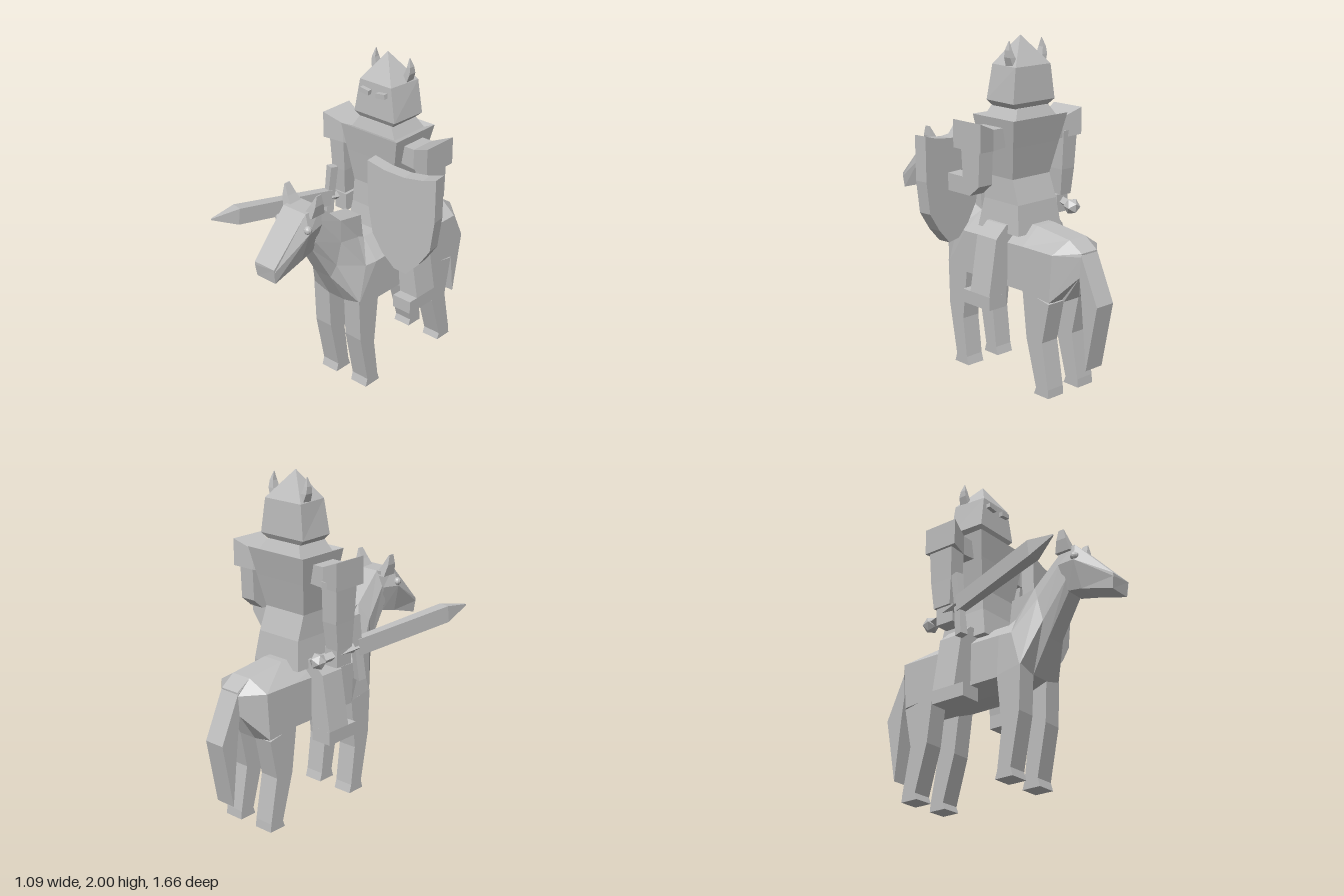
import * as THREE from 'three';

const stone = new THREE.MeshStandardMaterial({ color: 0xbfbfbf });
stone.name = 'stone grey';

function add(parent, name, geometry) {
  const g = geometry.index ? geometry.toNonIndexed() : geometry;
  g.computeVertexNormals(); // unshared corners give flat facets
  const mesh = new THREE.Mesh(g, stone);
  mesh.name = name;
  parent.add(mesh);
  return mesh;
}

// Skin a run of equal-length rings and cap both ends
function loft(rings) {
  const tris = [];
  const n = rings[0].length;
  for (let i = 0; i < rings.length - 1; i++) {
    for (let j = 0; j < n; j++) {
      const k = (j + 1) % n, a = rings[i], b = rings[i + 1];
      tris.push([a[j], a[k], b[k]], [a[j], b[k], b[j]]);
    }
  }
  const first = rings[0], last = rings[rings.length - 1];
  for (let j = 1; j < n - 1; j++) {
    tris.push([first[0], first[j + 1], first[j]], [last[0], last[j], last[j + 1]]);
  }
  // Turn the surface outward by the sign of its volume
  let volume = 0;
  const v = tris.map(t => t.map(p => new THREE.Vector3(...p)));
  v.forEach(([a, b, c]) => { volume += a.dot(b.clone().cross(c)); });
  if (volume < 0) v.forEach(t => t.reverse());
  return new THREE.BufferGeometry().setFromPoints(v.flat());
}

const shape = pts => new THREE.Shape(pts.map(p => new THREE.Vector2(...p)));
const plate = (pts, depth) =>
  new THREE.ExtrudeGeometry(shape(pts), { depth, bevelEnabled: false }).translate(0, 0, -depth / 2);
// Side outline given as [z, y], thickened along x
const sidePlate = (pts, depth, x) => plate(pts, depth).rotateY(-Math.PI / 2).translate(x, 0, 0);
// Symmetric ring from [halfWidth, y, z] points running top to bottom
const mirrorRing = half => [...half, ...half.slice().reverse().map(([x, y, z]) => [-x, y, z])];
// Horizontal rectangle
const rect = (x0, x1, y, z0, z1) => [[x0, y, z0], [x1, y, z0], [x1, y, z1], [x0, y, z1]];

function makeHorse() {
  const horse = new THREE.Group();
  horse.name = 'horse';
  horse.position.x = -0.03;

  // Barrel, chest and neck
  add(horse, 'horseBody', loft([
    [[0.06, 0.86, -0.71], [0.065, 0.84, -0.71], [0.065, 0.72, -0.7], [0.06, 0.55, -0.58]],
    [[0.065, 0.92, -0.62], [0.18, 0.85, -0.6], [0.18, 0.57, -0.58], [0.065, 0.55, -0.56]],
    [[0.065, 0.95, -0.37], [0.18, 0.85, -0.37], [0.18, 0.59, -0.37], [0.065, 0.545, -0.37]],
    [[0.065, 0.95, 0.1], [0.18, 0.84, 0.12], [0.18, 0.59, 0.105], [0.065, 0.545, 0.105]],
    [[0.065, 0.97, 0.15], [0.17, 0.84, 0.2], [0.18, 0.62, 0.265], [0.06, 0.6, 0.27]],
    [[0.065, 1.13, 0.29], [0.11, 1.03, 0.34], [0.1, 0.89, 0.37], [0.06, 0.8, 0.38]],
    [[0.055, 1.3, 0.47], [0.09, 1.22, 0.49], [0.085, 1.1, 0.52], [0.055, 1.04, 0.52]],
  ].map(mirrorRing)));

  add(horse, 'horseHead', loft([
    [[0.08, 1.3, 0.47], [0.1, 1.2, 0.48], [0.065, 1.04, 0.52]],
    [[0.085, 1.3, 0.59], [0.12, 1.19, 0.6], [0.075, 1.02, 0.62]],
    [[0.075, 1.05, 0.83], [0.075, 1.03, 0.83], [0.07, 0.96, 0.82]],
  ].map(mirrorRing)));

  add(horse, 'pommel', sidePlate([[0.29, 1.13], [0.12, 1.1], [0.1, 0.93], [0.16, 0.93]], 0.12, 0));

  const tail = [[-0.62, 0.92], [-0.71, 0.85], [-0.835, 0.58], [-0.76, 0.19],
    [-0.72, 0.57], [-0.7, 0.72], [-0.63, 0.82]];
  add(horse, 'tail', sidePlate(tail, 0.13, 0));

  const frontLeg = [[0.27, 0.63], [0.26, 0.36], [0.2, 0.05], [0.215, 0], [0.095, 0],
    [0.11, 0.05], [0.14, 0.29], [0.105, 0.6]];
  const hindLeg = [[-0.37, 0.6], [-0.405, 0.32], [-0.485, 0.04], [-0.47, 0], [-0.585, 0],
    [-0.58, 0.05], [-0.53, 0.32], [-0.58, 0.56]];
  for (const s of [-1, 1]) {
    add(horse, 'horseFrontLeg', sidePlate(frontLeg, 0.12, s * 0.12));
    add(horse, 'horseHindLeg', sidePlate(hindLeg, 0.12, s * 0.12));
    add(horse, 'horseEye', new THREE.SphereGeometry(0.025, 10, 8).translate(s * 0.108, 1.215, 0.6));
    // Pointed ear leaning outward
    add(horse, 'horseEar', loft([
      rect(s * 0.04, s * 0.11, 1.27, 0.47, 0.57),
      rect(s * 0.085, s * 0.125, 1.34, 0.49, 0.555),
      rect(s * 0.117, s * 0.123, 1.4, 0.505, 0.54),
    ]));
  }
  return horse;
}

function makeRider() {
  const rider = new THREE.Group();
  rider.name = 'rider';
  rider.position.x = -0.02;

  // Rings: height, half width, front z, back z
  add(rider, 'torso', loft([
    [0.9, 0.17, 0, -0.335], [1.07, 0.15, -0.03, -0.31], [1.21, 0.145, -0.04, -0.26],
    [1.4, 0.18, -0.02, -0.3], [1.56, 0.21, 0, -0.335], [1.545, 0.16, -0.04, -0.3],
    [1.61, 0.12, -0.06, -0.27],
  ].map(([y, h, f, b]) => rect(-h, h, y, f, b))));

  // Helmet with a narrower face, rising to a point
  const helmetRing = (y, front, back, zf, zb) =>
    [[-front, y, zf], [front, y, zf], [back, y, zb], [-back, y, zb]];
  add(rider, 'helmet', loft([
    helmetRing(1.605, 0.12, 0.12, -0.07, -0.26),
    helmetRing(1.64, 0.15, 0.16, -0.05, -0.28),
    helmetRing(1.84, 0.115, 0.135, -0.06, -0.27),
    helmetRing(2, 0.002, 0.002, -0.163, -0.167),
  ]));

  for (const s of [-1, 1]) {
    add(rider, 'horn', loft([
      rect(s * 0.07, s * 0.125, 1.84, -0.18, -0.24),
      rect(s * 0.105, s * 0.142, 1.89, -0.185, -0.235),
      rect(s * 0.118, s * 0.142, 1.93, -0.19, -0.225),
      rect(s * 0.123, s * 0.126, 1.98, -0.205, -0.209),
    ]));
    const eye = add(rider, 'eyeSlit', new THREE.BoxGeometry(0.065, 0.028, 0.04));
    eye.position.set(s * 0.06, 1.787, -0.05);
    eye.rotation.z = s * 0.12;

    // Seated leg splayed over the horse, with a boot
    add(rider, 'riderLeg', plate([[0.08, 0.96], [0.19, 0.95], [0.265, 0.88], [0.32, 0.55],
      [0.32, 0.47], [0.19, 0.47], [0.19, 0.55], [0.16, 0.8], [0.08, 0.85]]
      .map(([x, y]) => [s * x - 0.01, y]), 0.16).translate(0, 0, -0.165));
    add(rider, 'boot', new THREE.BoxGeometry(0.13, 0.08, 0.225).translate(s * 0.255 - 0.01, 0.51, -0.133));

    // Flared shoulder guard
    const shoulder = (x, y0, y1, z0, z1) => [[s * x, y0, z0], [s * x, y1, z0], [s * x, y1, z1], [s * x, y0, z1]];
    add(rider, 'shoulderGuard', loft([
      shoulder(0.16, 1.4, 1.51, -0.08, -0.24),
      shoulder(0.27, 1.39, 1.51, -0.08, -0.24),
      shoulder(0.395, 1.4, 1.56, -0.045, -0.27),
    ]));
  }

  // Sword arm hangs straight, shield arm bends forward
  add(rider, 'swordArm', loft([
    rect(-0.38, -0.27, 1.43, -0.08, -0.25),
    rect(-0.37, -0.27, 1.2, -0.09, -0.24),
    rect(-0.365, -0.28, 1.04, -0.1, -0.22),
  ]));
  add(rider, 'swordHand', new THREE.BoxGeometry(0.09, 0.11, 0.12).translate(-0.305, 0.99, -0.15));
  add(rider, 'shieldArm', sidePlate([[-0.085, 1.43], [-0.24, 1.43], [-0.23, 1.2], [-0.16, 1.14],
    [0.06, 1.14], [0.06, 1.24], [-0.1, 1.24]], 0.1, 0.325));
  return rider;
}

function makeShield() {
  const shield = add(new THREE.Group(), 'shield', plate([[-0.225, 0.32], [-0.11, 0.29], [0.02, 0.28],
    [0.14, 0.295], [0.225, 0.32], [0.222, 0.06], [0.195, -0.13], [0.12, -0.24], [0.04, -0.325],
    [-0.04, -0.315], [-0.12, -0.24], [-0.19, -0.13], [-0.222, 0.06]], 0.08));
  shield.position.set(0.315, 1.155, 0.07);
  shield.rotation.y = 0.12;
  return shield;
}

function makeSword() {
  const sword = new THREE.Group();
  sword.name = 'sword';
  // Built along +z from the guard, then aimed forward and outward
  const diamond = (z, w, h) => [[w, 0, z], [0, h, z], [-w, 0, z], [0, -h, z]];
  const bar = (z, w, h) => [[w, -h, z], [w, h, z], [-w, h, z], [-w, -h, z]];
  add(sword, 'blade', loft([bar(0, 0.025, 0.05), bar(0.65, 0.035, 0.05), bar(0.815, 0.003, 0.004)]));
  add(sword, 'crossGuard', loft([[-0.2, 0.025], [0, 0.018], [0.2, 0.025]]
    .map(([y, w]) => rect(-w, w, y, -0.025, 0.025))));
  add(sword, 'grip', loft([diamond(-0.24, 0.028, 0.028), diamond(0, 0.028, 0.028)]));
  add(sword, 'swordPommel', new THREE.IcosahedronGeometry(0.05, 0).translate(0, 0, -0.27));
  sword.position.set(-0.37, 1.02, -0.04);
  sword.lookAt(-0.545, 1.12, 0.76);
  return sword;
}

export function createModel() {
  const model = new THREE.Group();
  model.name = 'mountedKnight';
  model.add(makeHorse(), makeRider(), makeShield(), makeSword());
  return model;
}
